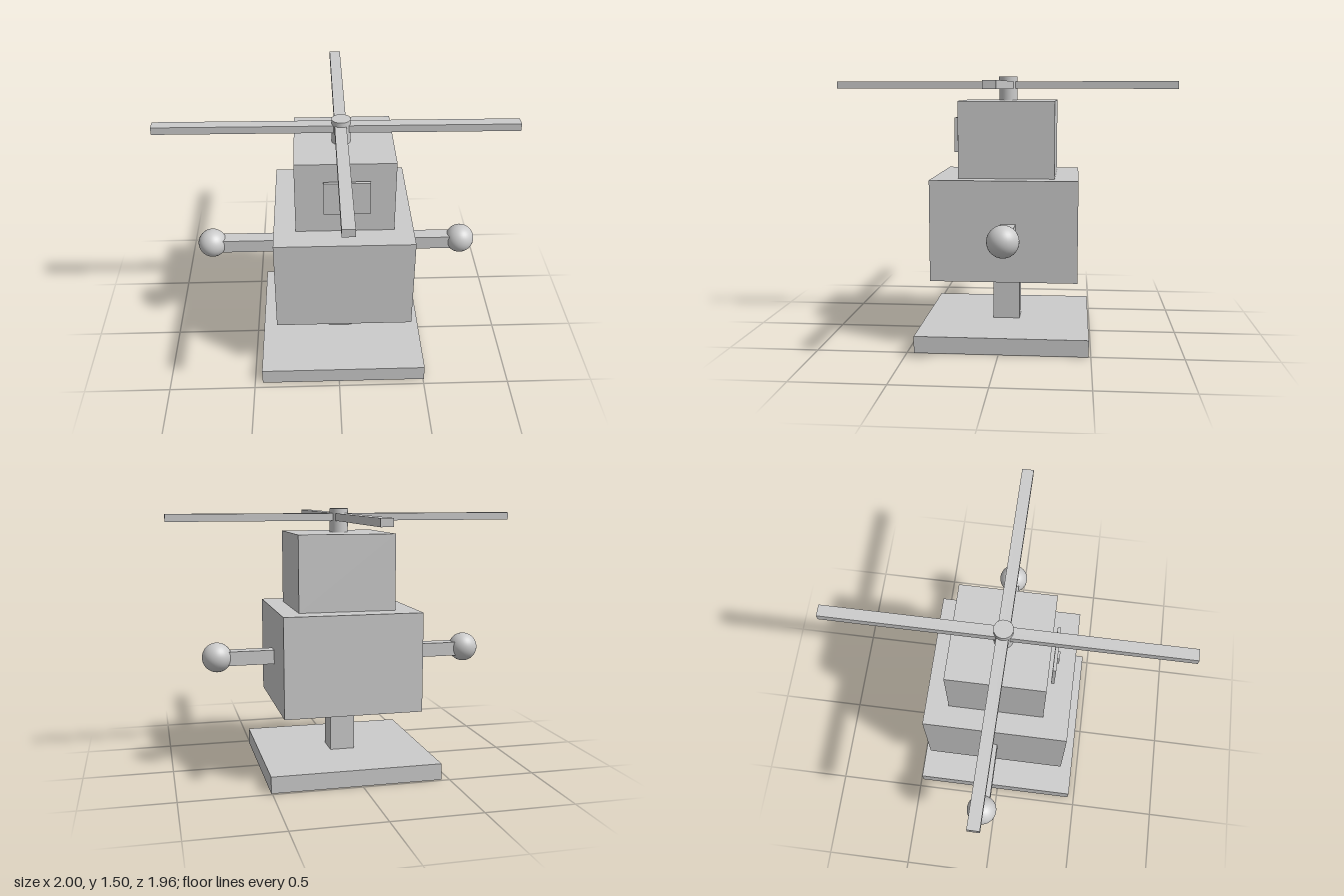
import * as THREE from 'three';

export function createModel() {
  const group = new THREE.Group();
  const material = new THREE.MeshStandardMaterial({ color: 0xcccccc });

  const add = (name, geometry, x, y, z) => {
    const mesh = new THREE.Mesh(geometry, material);
    mesh.name = name;
    mesh.position.set(x, y, z);
    group.add(mesh);
    return mesh;
  };
  // Box given by its extents along each axis
  const box = (name, [x0, x1], [y0, y1], [z0, z1]) =>
    add(name, new THREE.BoxGeometry(x1 - x0, y1 - y0, z1 - z0),
      (x0 + x1) / 2, (y0 + y1) / 2, (z0 + z1) / 2);

  // Stand, torso and head
  box('base', [-0.455, 0.505], [0, 0.093], [-0.488, 0.462]);
  box('post', [-0.05, 0.092], [0.093, 0.383], [-0.088, 0.065]);
  box('body', [-0.357, 0.418], [0.383, 0.939], [-0.423, 0.383]);
  box('head', [-0.235, 0.311], [0.939, 1.363], [-0.293, 0.238]);

  // Face plate floating just ahead of the head, with its button
  box('facePlate', [-0.08, 0.172], [1.073, 1.267], [0.258, 0.276]);
  box('faceButton', [0.02, 0.063], [1.13, 1.198], [0.27, 0.288]);

  // Arms with ball hands
  for (const [side, s, inner] of [['left', 1, 0.418], ['right', -1, 0.357]]) {
    box(side + 'Arm', [s * inner, s * 0.7].sort((a, b) => a - b), [0.623, 0.703], [-0.086, -0.006]);
    add(side + 'Hand', new THREE.SphereGeometry(0.084, 32, 20), s * 0.738, 0.668, -0.046);
  }

  // Rotor: hub and two crossed bars
  add('rotorHub', new THREE.CylinderGeometry(0.052, 0.052, 0.134, 32), 0.024, 1.43, -0.016);
  box('rotorBladeLong', [-0.012, 0.052], [1.428, 1.47], [-0.98, 0.98]);
  const cross = box('rotorBladeCross', [-1, 1], [1.428, 1.47], [-0.049, 0.015]);
  cross.rotation.y = -0.011;

  return group;
}
